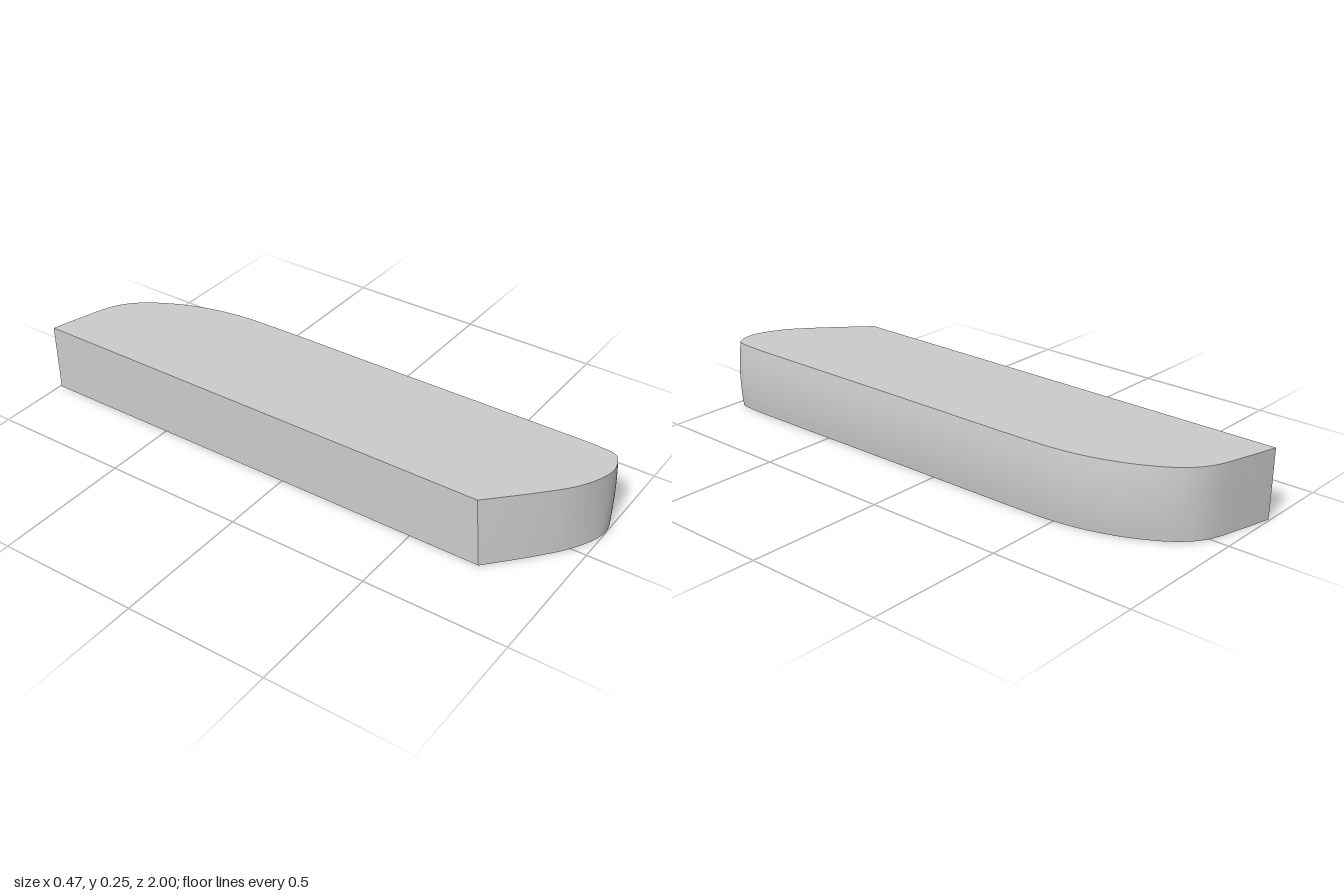
import * as THREE from 'three';

const H = 0.245, LEVELS = 10, STEPS = 120;

// Top outline as [x, z], from the back corner round the curved side to the front corner
const OUTLINE = [
  [-0.235, -1], [-0.13, -0.972], [0, -0.93], [0.07, -0.875], [0.14, -0.765],
  [0.19, -0.63], [0.213, -0.5], [0.219, -0.35], [0.221, 0.1], [0.225, 0.7],
  [0.224, 0.9], [0.215, 0.965], [0.19, 0.986], [0.14, 0.998], [0.085, 0.988],
  [0, 0.945], [-0.1, 0.86], [-0.235, 0.73],
];

// Moves an outline point to height t (0 bottom, 1 top): bulged side, sloping ends
function section(p, t) {
  const bulge = 0.01 * (1 - (2 * t - 1) ** 2) + 0.003 * (1 - t);
  const x = p.x + bulge * THREE.MathUtils.smoothstep(p.x, -0.1, 0.18);
  const slope = p.z > 0 ? 0.02 * Math.max(0, -p.x / 0.235) : 0.005 * Math.max(0, -p.x / 0.235);
  return new THREE.Vector3(x, t * H, p.z + slope * (1 - t));
}

// Vertical wall along a row of outline points
function wall(points) {
  const pos = [], index = [], row = LEVELS + 1;
  points.forEach((p, i) => {
    for (let j = 0; j <= LEVELS; j++) pos.push(...section(p, j / LEVELS).toArray());
    if (i === points.length - 1) return;
    for (let j = 0; j < LEVELS; j++) {
      const a = i * row + j, b = a + row;
      index.push(a, a + 1, b, b, a + 1, b + 1);
    }
  });
  const g = new THREE.BufferGeometry();
  g.setAttribute('position', new THREE.Float32BufferAttribute(pos, 3));
  g.setIndex(index);
  g.computeVertexNormals();
  return g;
}

// Flat cap at height t, facing up (1) or down (-1)
function cap(points, t, facing) {
  const ring = points.map((p) => section(p, t));
  const shape = new THREE.Shape(ring.map((v) => new THREE.Vector2(v.x, -facing * v.z)));
  return new THREE.ShapeGeometry(shape).rotateX(-facing * Math.PI / 2).translate(0, t * H, 0);
}

export function createModel() {
  const group = new THREE.Group();
  group.name = 'roundedBlock';
  const material = new THREE.MeshStandardMaterial({ color: 0xcccccc });
  const curve = new THREE.CatmullRomCurve3(OUTLINE.map(([x, z]) => new THREE.Vector3(x, 0, z)));
  const points = curve.getPoints(STEPS);
  const add = (name, geometry) => {
    const mesh = new THREE.Mesh(geometry, material);
    mesh.name = name;
    group.add(mesh);
  };

  add('curvedSide', wall(points));
  add('flatSide', wall([points[STEPS], points[0]]));
  add('topFace', cap(points, 1, 1));
  add('bottomFace', cap(points, 0, -1));
  return group;
}
